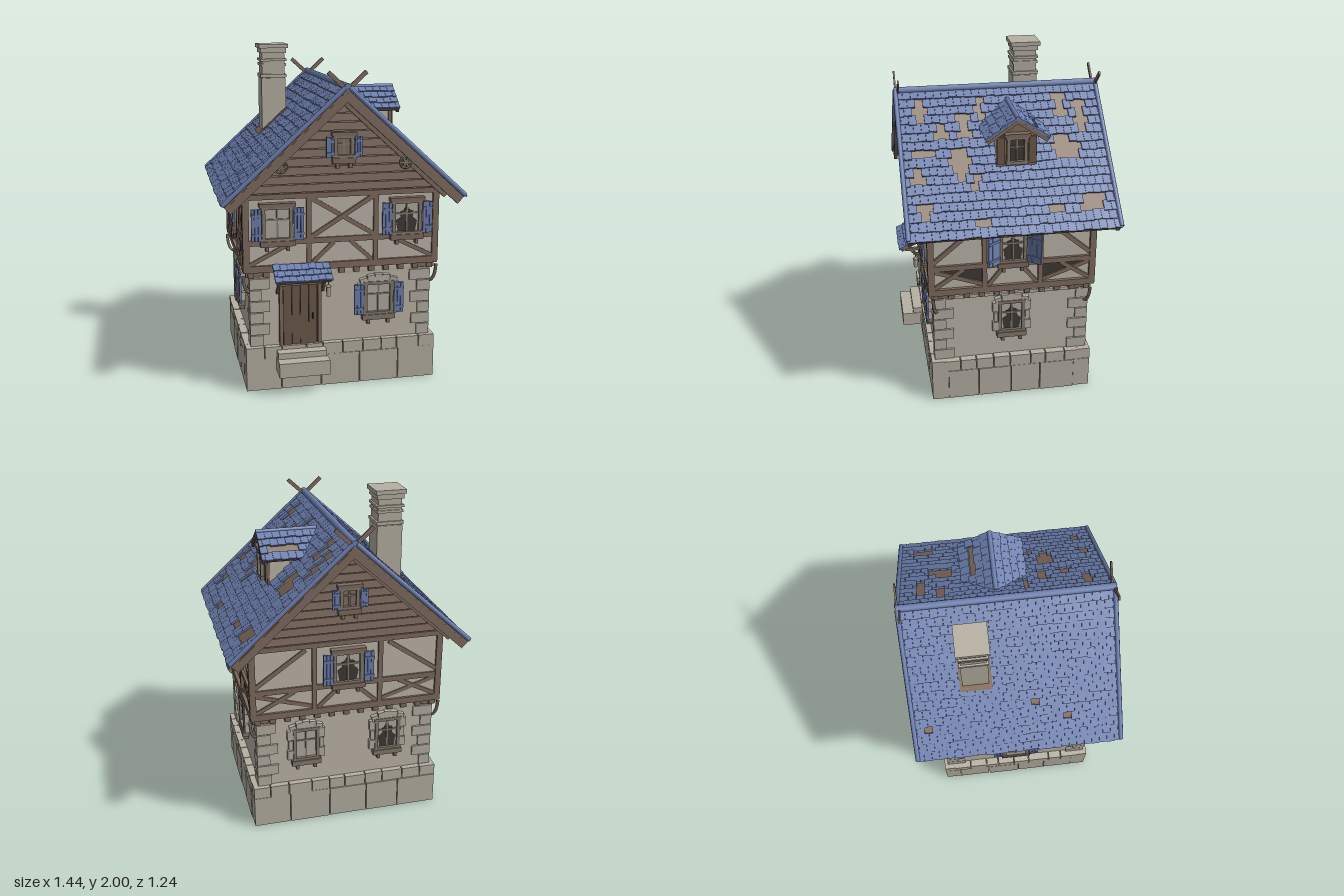
import * as THREE from 'three';
import { mergeGeometries } from 'three/addons/utils/BufferGeometryUtils.js';

const mat = (name, color) => Object.assign(new THREE.MeshStandardMaterial({ color }), { name });
const M = {
  blue: mat('blue slate', 0x6e80b0), plaster: mat('plaster', 0xbfb8ac), stone: mat('stone', 0xb8b1a4),
  timber: mat('timber', 0x806c60), plank: mat('gable plank', 0x826e62), door: mat('door wood', 0x6e594c),
  dark: mat('dark opening', 0x3f3a36), glass: mat('glass', 0xb3aea3), lath: mat('roof lath', 0x86705e),
  frame: mat('window frame', 0x857a6e),
};
let seed = 7;
const rand = () => { seed = (seed * 16807) % 2147483647; return seed / 2147483647; };
const jit = (a) => (rand() - 0.5) * 2 * a;

function add(parent, name, geo, m, x = 0, y = 0, z = 0) {
  const mesh = new THREE.Mesh(geo, m);
  mesh.name = name;
  mesh.position.set(x, y, z);
  parent.add(mesh);
  return mesh;
}
const box = (p, name, m, w, h, d, x, y, z) => add(p, name, new THREE.BoxGeometry(w, h, d), m, x, y, z);
function group(parent, name) {
  const g = new THREE.Group();
  g.name = name;
  parent.add(g);
  return g;
}
// straight timber between two points of a facade
function beam(p, name, x1, y1, x2, y2, width, z, depth = 0.03) {
  const b = box(p, name, M.timber, Math.hypot(x2 - x1, y2 - y1), width, depth, (x1 + x2) / 2, (y1 + y2) / 2, z);
  b.rotation.z = Math.atan2(y2 - y1, x2 - x1);
}
function poly(pts, depth) {
  return new THREE.ExtrudeGeometry(new THREE.Shape(pts.map((q) => new THREE.Vector2(...q))), { depth, bevelEnabled: false });
}
// jagged outline of a broken pane, in fractions of the window size
const SHARD = [[-0.3, -0.48], [0.3, -0.48], [0.38, -0.12], [0.22, 0], [0.24, 0.2], [0.08, 0.24], [0, 0.44], [-0.1, 0.22], [-0.24, 0.16], [-0.2, 0], [-0.38, -0.1]];

// window with optional shutters (swung out by an angle) and stone surround; z is the wall surface
function addWindow(parent, x, y, w, h, z, { shutter = 0, swing = 0, stone = false, broken = false, sill = true, pane = M.glass } = {}) {
  const g = group(parent, 'window');
  g.position.set(x, y, z);
  box(g, 'pane', pane, w, h, 0.01, 0, 0, 0.008);
  if (broken) add(g, 'brokenPane', poly(SHARD.map(([a, b]) => [a * w, b * h]), 0.002), M.dark, 0, 0, 0.013);
  for (const s of [-1, 1]) {
    box(g, 'jamb', M.frame, 0.02, h, 0.03, s * (w / 2 - 0.005), 0, 0.015);
    box(g, 'rail', M.frame, w + 0.02, 0.02, 0.034, 0, s * h / 2, 0.015);
  }
  box(g, 'mullion', M.frame, 0.01, h, 0.018, 0, 0, 0.011);
  box(g, 'transom', M.frame, w, 0.01, 0.018, 0, h * 0.12, 0.011);
  if (shutter) for (const s of [-1, 1]) {
    const leaf = group(g, 'shutter');
    leaf.position.set(s * (w / 2 + 0.008), -0.002, 0.03);
    leaf.rotation.y = -s * swing;
    for (let i = 0; i < 3; i++) box(leaf, 'shutterBoard', M.blue, shutter / 3 - 0.002, h + jit(0.006), 0.012, (s * (i + 0.5) * shutter) / 3, 0, 0);
    for (const k of [-0.3, 0.3]) box(leaf, 'shutterBatten', M.blue, shutter, 0.014, 0.008, (s * shutter) / 2, k * h, 0.008);
  }
  if (stone) {
    for (let i = -2; i <= 2; i++) {
      const v = box(g, 'archStone', M.stone, w * 0.27, 0.045, 0.035, i * w * 0.26, h / 2 + 0.032 - i * i * 0.006, 0.01);
      v.rotation.z = -i * 0.14;
    }
    for (const s of [-1, 1]) for (let i = 0; i < 3; i++)
      box(g, 'jambStone', M.stone, i % 2 ? 0.025 : 0.04, h / 3 - 0.006, 0.03, s * (w / 2 + 0.02), (i - 1) * h / 3, 0.01);
  } else box(g, 'lintel', M.timber, w + 0.04, 0.022, 0.04, 0, h / 2 + 0.015, 0.018);
  if (sill) {
    box(g, 'sill', stone ? M.frame : M.timber, w + 0.03, 0.032, 0.04, 0, -h / 2 - 0.022, 0.018);
    for (const s of [-1, 1]) box(g, 'sillBracket', M.timber, 0.018, 0.03, 0.03, s * w * 0.36, -h / 2 - 0.052, 0.014);
  }
}

// overlapping slates: local x runs down the slope, y is the normal
function slates(len, width, rows, cols, missing = () => false) {
  const parts = [], rl = len / rows, cw = width / cols;
  for (let r = 0; r < rows; r++) for (let c = 0; c <= cols; c++) {
    const off = r % 2 ? 0.5 : 0;
    const z0 = Math.max(0, c - off), z1 = Math.min(cols, c + 1 - off);
    if (z1 - z0 < 0.1) continue;
    const x = (r + 0.5) * rl, z = ((z0 + z1) / 2) * cw - width / 2;
    if (missing(x, z)) continue;
    const t = new THREE.BoxGeometry(rl * 1.2, 0.011, (z1 - z0) * cw - 0.0012);
    t.rotateZ(0.13 + jit(0.03));
    t.translate(x + jit(0.004), 0.012, z);
    parts.push(t);
  }
  return mergeGeometries(parts);
}

// stone row with uneven joints
function course(p, name, len, n, y, h, z, d, uneven) {
  let x = -len / 2;
  for (let i = 0; i < n; i++) {
    const x1 = i === n - 1 ? len / 2 : -len / 2 + ((i + 1) * len) / n + jit(uneven);
    box(p, name, M.stone, x1 - x - 0.005, h + jit(uneven * 0.2), d, (x + x1) / 2, y, z + jit(uneven * 0.1));
    x = x1;
  }
}

export function createModel() {
  const house = new THREE.Group();
  house.name = 'house';
  seed = 7;
  const both = [-1, 1];
  // facades: local x to the right seen from outside, local z outward
  const [front, right, back, left] = ['front', 'right', 'back', 'left'].map((n, i) => {
    const g = group(house, n + 'Facade');
    g.rotation.y = (i * Math.PI) / 2;
    return g;
  });

  // storeys
  box(house, 'groundFloorWall', M.plaster, 1.07, 0.52, 0.91, 0, 0.47, 0);
  box(house, 'floorUnderside', M.dark, 1.1, 0.02, 0.92, 0, 0.196, 0);
  box(house, 'upperFloorWall', M.plaster, 1.13, 0.45, 0.96, 0, 0.965, 0);
  add(house, 'gableWall', poly([[-0.62, 1.18], [0.62, 1.18], [0, 1.745]], 0.97), M.plank, 0, 0, -0.485);

  for (const f of [front, right, back, left]) {
    const wide = f === front || f === back;
    const W = wide ? 0.58 : 0.49, D = wide ? 0.49 : 0.58;
    // plinth
    course(f, 'plinthBlock', wide ? 1.16 : 0.78, wide ? 5 : 4, 0.097, 0.194, D - 0.05, 0.1, 0.02);
    course(f, 'plinthCap', wide ? 1.16 : 0.84, wide ? 10 : 8, 0.231, 0.07, D - 0.04, 0.08, 0.018);
    // framing
    const z = D - 0.01, E = W - 0.015, P = wide ? 0.2 : 0.165;
    beam(f, 'soleBeam', -W, 0.75, W, 0.75, 0.04, z);
    beam(f, 'headBeam', -W, 1.175, W, 1.175, 0.03, z);
    beam(f, 'midRail', -W, 0.905, W, 0.905, 0.032, z - 0.004);
    for (const s of both) {
      beam(f, 'cornerPost', s * E, 0.74, s * E, 1.18, 0.035, z);
      beam(f, 'post', s * P, 0.74, s * P, 1.18, 0.028, z);
      beam(f, 'lowBrace', s * (P - 0.02), 0.77, s * 0.05, 0.89, 0.024, z - 0.006);
      beam(f, 'sideLowBrace', s * (E - 0.01), 0.77, s * (P + 0.12), 0.89, 0.024, z - 0.006);
      if (f !== front) {
        beam(f, 'highBrace', s * E, 0.93, s * (P + 0.05), 1.15, 0.026, z - 0.006);
        beam(f, 'lowCrossBrace', s * E, 0.89, s * P, 0.78, 0.024, z - 0.008);
      }
      if (f === right) {
        const pts = [[s * 0.44, 0.892], [s * 0.18, 0.892], [s * 0.18, 0.79]];
        add(f, 'openPanel', poly(pts, 0.006), M.dark, 0, 0, D - 0.02);
      }
      if (f === left) for (const x of [0.25, 0.33, 0.41]) beam(f, 'stud', s * x, 0.76, s * x, 1.17, 0.022, z - 0.004);
    }
    // joist ends
    const n = wide ? 13 : 11;
    for (let i = 0; i < n; i++) box(f, 'joistEnd', M.timber, 0.035, 0.032, 0.1, -W + 0.04 + (i * (2 * W - 0.08)) / (n - 1), 0.712, D - 0.06);
    box(f, 'jettyStrip', M.stone, 2 * W - 0.08, 0.02, 0.06, 0, 0.69, D - 0.065);
  }

  // corner stones and curved brackets
  for (const sx of both) for (const sz of both) {
    for (let i = 0; i < 6; i++) {
      const a = (i % 2 ? 0.12 : 0.075) + jit(0.01), b = i % 2 ? 0.075 : 0.12;
      box(house, 'cornerStone', M.stone, a, 0.064, b, sx * (0.548 - a / 2), 0.302 + i * 0.07, sz * (0.468 - b / 2));
    }
    const path = new THREE.CatmullRomCurve3([[0.53, 0.6, 0.44], [0.562, 0.612, 0.455], [0.578, 0.65, 0.465], [0.585, 0.715, 0.47]]
      .map(([x, y, z]) => new THREE.Vector3(sx * x, y, sz * z)));
    add(house, 'curvedBracket', new THREE.TubeGeometry(path, 8, 0.01, 6), M.timber);
  }

  // front braces and all main windows
  for (const s of both) beam(front, 'crossBrace', -0.19 * s, 0.925, 0.19 * s, 1.16, 0.026, 0.476 + s * 0.003);
  addWindow(front, -0.385, 1.02, 0.17, 0.19, 0.482, { shutter: 0.06 });
  addWindow(front, 0.385, 1.02, 0.17, 0.19, 0.482, { shutter: 0.06, broken: true });
  addWindow(front, 0.225, 0.525, 0.17, 0.19, 0.457, { shutter: 0.06, stone: true });
  addWindow(right, 0, 1.02, 0.15, 0.185, 0.567, { shutter: 0.09, swing: 0.65, broken: true });
  addWindow(right, 0, 0.54, 0.15, 0.2, 0.537, { stone: true, broken: true });
  addWindow(back, 0, 1.02, 0.17, 0.19, 0.482, { shutter: 0.06, broken: true });
  addWindow(back, -0.25, 0.53, 0.15, 0.2, 0.457, { stone: true });
  addWindow(back, 0.26, 0.53, 0.15, 0.2, 0.457, { stone: true, broken: true });
  addWindow(left, 0, 1.02, 0.16, 0.19, 0.567, { shutter: 0.06 });
  addWindow(left, 0, 0.525, 0.16, 0.19, 0.537, { shutter: 0.06, stone: true });

  // gables: boarding, trim, attic window, rosettes
  for (const f of [front, back]) {
    for (let i = 0; i < 10; i++) {
      const y = 1.195 + i * 0.05;
      const b = box(f, 'gableBoard', M.plank, (2 * (1.74 - y - 0.045)) / 0.915, 0.044, 0.014, jit(0.01), y + 0.023, 0.489);
      b.rotation.x = -0.1;
    }
    for (const s of both) {
      beam(f, 'gableTrim', 0, 1.715, s * 0.62, 1.148, 0.04, 0.503 + s * 0.002, 0.025);
      if (f === front) {
        const r = group(f, 'rosette');
        r.position.set(s * 0.365, 1.352, 0.522);
        add(r, 'ring', new THREE.TorusGeometry(0.034, 0.006, 6, 16), M.timber);
        for (let k = 0; k < 3; k++) box(r, 'petal', M.frame, 0.066, 0.012, 0.012, 0, 0, 0).rotation.z = (k * Math.PI) / 3;
      }
    }
    addWindow(f, 0, 1.455, 0.105, 0.115, 0.495, { shutter: 0.045, pane: M.plank });
  }

  // main roof
  const a = Math.atan(0.65 / 0.71), L = 0.942;
  const holesRight = [[0.175, -0.48, 0.08, 0.03], [0.31, -0.41, 0.04, 0.035], [0.3, -0.32, 0.06, 0.04], [0.57, -0.46, 0.04, 0.065],
    [0.1, -0.36, 0.06, 0.03], [0.1, 0.12, 0.045, 0.025], [0.19, 0.23, 0.065, 0.03], [0.21, 0.37, 0.055, 0.035], [0.33, 0.28, 0.03, 0.055],
    [0.42, 0.52, 0.035, 0.035], [0.57, 0.5, 0.045, 0.03], [0.31, 0.48, 0.026, 0.055], [0.4, 0.27, 0.045, 0.026], [0.11, 0.48, 0.05, 0.03],
    [0.45, 0.2, 0.025, 0.025], [0.63, 0.18, 0.022, 0.025], [0.59, -0.25, 0.022, 0.05]];
  const holesLeft = [[0.57, 0.53, 0.022, 0.03], [0.47, -0.1, 0.022, 0.022], [0.535, -0.31, 0.022, 0.022]];
  [holesRight, holesLeft].forEach((holes, i) => {
    const side = group(house, i ? 'leftRoof' : 'rightRoof');
    side.rotation.y = i * Math.PI;
    const g = group(side, 'roofSlope');
    g.position.y = 1.785;
    g.rotation.z = -a;
    box(g, 'roofDeck', M.lath, L, 0.03, 1.2, L / 2, -0.013, 0);
    add(g, 'roofSlates', slates(L + 0.003, 1.215, 17, 27, (x, z) =>
      holes.some((h) => Math.abs(x * Math.cos(a) - h[0]) < h[2] && Math.abs(z - h[1]) < h[3])), M.blue);
    for (const s of both) {
      add(g, 'vergeRoll', new THREE.CylinderGeometry(0.014, 0.014, L, 8).rotateZ(Math.PI / 2), M.blue, L / 2, 0.015, s * 0.602);
      box(g, 'bargeBoard', M.timber, L, 0.045, 0.022, L / 2, -0.03, s * 0.592);
      box(g, 'crossedFinial', M.timber, 0.2, 0.024, 0.01, -0.045, -0.004, s > 0 ? 0.6 : -0.588);
    }
    for (let k = 0; k < 9; k++) box(g, 'rafterEnd', M.timber, 0.16, 0.022, 0.025, L - 0.12, -0.036, -0.48 + k * 0.12);
  });
  add(house, 'ridgeRoll', new THREE.CylinderGeometry(0.021, 0.021, 1.22, 10).rotateX(Math.PI / 2), M.blue, 0, 1.798, 0);

  // dormer, built facing +z and turned to +x
  const dormer = group(house, 'dormer');
  dormer.rotation.y = Math.PI / 2;
  dormer.position.z = -0.05;
  box(dormer, 'dormerWall', M.plaster, 0.22, 0.2, 0.27, 0, 1.52, 0.255);
  add(dormer, 'dormerGable', poly([[-0.14, 1.615], [0.14, 1.615], [0, 1.715]], 0.3), M.plank, 0, 0, 0.095);
  box(dormer, 'dormerFront', M.timber, 0.235, 0.21, 0.012, 0, 1.52, 0.393);
  addWindow(dormer, 0, 1.545, 0.11, 0.15, 0.4, { pane: M.dark, sill: false });
  for (const s of both) {
    box(dormer, 'dormerShutter', M.door, 0.045, 0.16, 0.012, s * 0.092, 1.54, 0.405);
    beam(dormer, 'dormerBarge', 0, 1.722, s * 0.175, 1.602, 0.025, 0.43 + s * 0.001, 0.018);
    const turn = group(dormer, 'dormerRoof');
    turn.rotation.y = s > 0 ? 0 : Math.PI;
    const g = group(turn, 'dormerSlope');
    g.position.set(0, 1.728, s * 0.26);
    g.rotation.z = -0.6;
    box(g, 'dormerDeck', M.lath, 0.208, 0.014, 0.36, 0.104, -0.006, 0);
    add(g, 'dormerSlates', slates(0.212, 0.365, 4, 8, (x, z) => s > 0 && x > 0.106 && x < 0.159 && z > -0.04 && z < 0.14), M.blue);
  }
  add(dormer, 'dormerRidge', new THREE.CylinderGeometry(0.014, 0.014, 0.365, 8).rotateX(Math.PI / 2), M.blue, 0, 1.738, 0.26);

  // chimney
  const chimney = group(house, 'chimney');
  chimney.position.set(-0.3, 0, -0.217);
  for (const [name, w, y0, y1] of [['shaft', 0.14, 1.35, 1.98], ['lowerShaft', 0.152, 1.3, 1.79], ['band', 0.162, 1.795, 1.815],
    ['band', 0.156, 1.865, 1.88], ['band', 0.162, 1.895, 1.91], ['collar', 0.16, 1.945, 1.975], ['cap', 0.182, 1.975, 2]])
    box(chimney, name, M.stone, w, y1 - y0, w, 0, (y0 + y1) / 2, 0);
  box(chimney, 'flashing', M.lath, 0.25, 0.035, 0.185, 0, 1.517, 0).rotation.z = a;

  // door, steps, awning and lantern
  const entry = group(house, 'entrance');
  entry.position.x = -0.25;
  box(entry, 'doorBacking', M.dark, 0.22, 0.38, 0.01, 0, 0.455, 0.457);
  for (let i = 0; i < 4; i++) box(entry, 'doorBoard', M.door, 0.049, 0.37, 0.015, (i - 1.5) * 0.051, 0.45, 0.465);
  for (const s of both) {
    box(entry, 'doorPost', M.timber, 0.022, 0.39, 0.035, s * 0.115, 0.46, 0.468);
    box(entry, 'awningStrut', M.timber, 0.016, 0.15, 0.016, s * 0.135, 0.645, 0.51).rotation.x = 0.75;
    box(entry, 'awningArm', M.timber, 0.018, 0.018, 0.13, s * 0.135, 0.69, 0.52);
  }
  box(entry, 'doorLintel', M.timber, 0.27, 0.03, 0.045, 0, 0.655, 0.472);
  box(entry, 'doorHandle', M.dark, 0.008, 0.035, 0.015, 0.075, 0.44, 0.477);
  box(entry, 'upperStep', M.stone, 0.29, 0.055, 0.12, 0, 0.217, 0.49);
  box(entry, 'lowerStep', M.stone, 0.3, 0.088, 0.12, 0, 0.165, 0.56);
  const awningTurn = group(entry, 'awning');
  awningTurn.rotation.y = -Math.PI / 2;
  const awning = group(awningTurn, 'awningSlope');
  awning.position.set(0.49, 0.76, 0);
  awning.rotation.z = -0.5;
  box(awning, 'awningDeck', M.timber, 0.135, 0.012, 0.32, 0.068, -0.004, 0);
  add(awning, 'awningSlates', slates(0.14, 0.335, 3, 8), M.blue);
  const lantern = group(house, 'lantern');
  lantern.position.set(-0.09, 0.6, 0.52);
  box(lantern, 'lanternArm', M.timber, 0.012, 0.012, 0.08, 0, 0.068, -0.025);
  box(lantern, 'lanternHook', M.timber, 0.005, 0.04, 0.005, 0, 0.05, 0);
  add(lantern, 'lanternBody', new THREE.CylinderGeometry(0.016, 0.013, 0.06, 6), M.glass);
  add(lantern, 'lanternCap', new THREE.ConeGeometry(0.02, 0.018, 6), M.timber, 0, 0.038, 0);
  return house;
}
